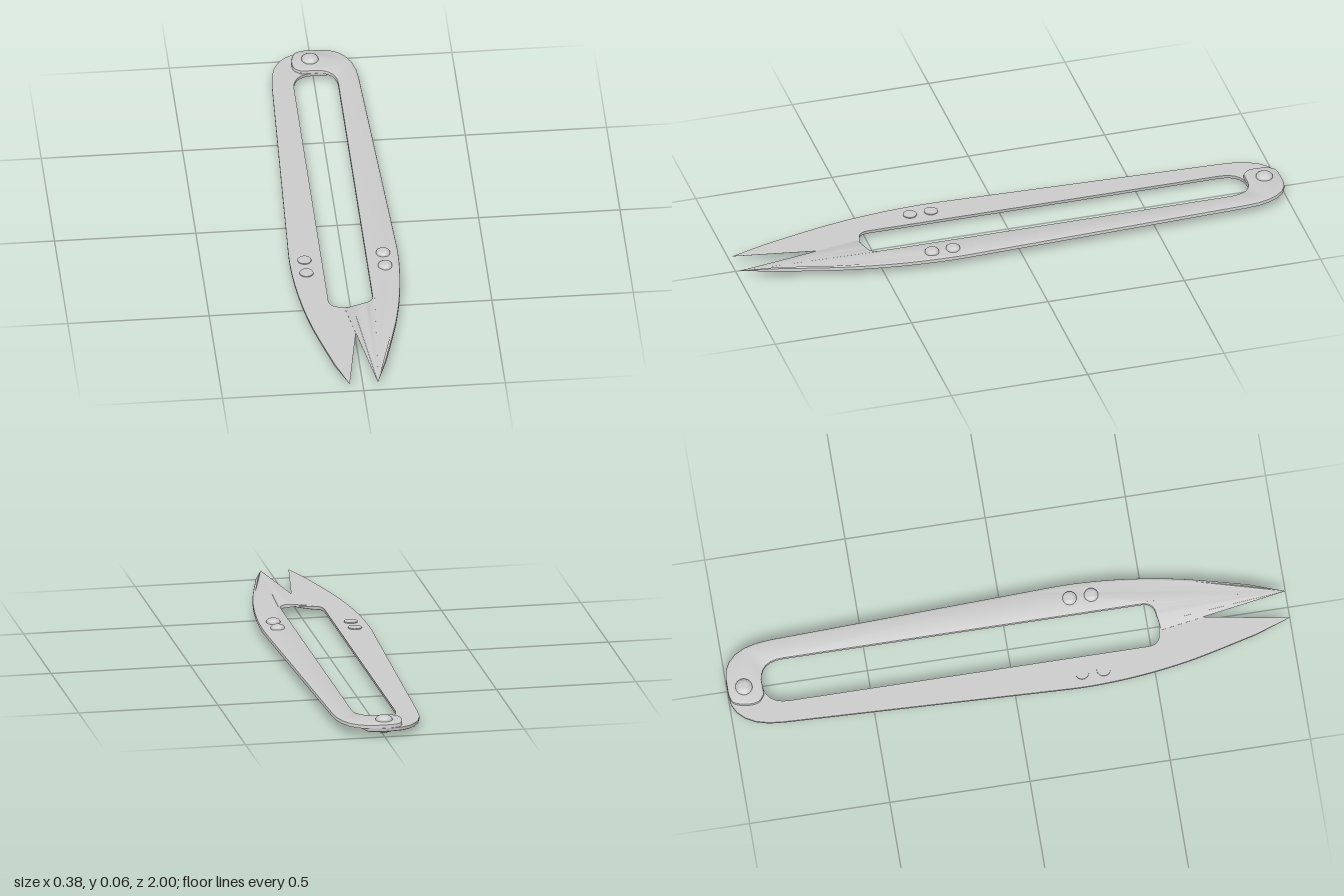
import * as THREE from 'three';
import { toCreasedNormals } from 'three/addons/utils/BufferGeometryUtils.js';

const MID = 0.033;             // height of the plane where the two halves meet
const WALL = 0.009, ROUND = 0.005, THICK = WALL + ROUND;
const metal = new THREE.MeshStandardMaterial({ color: 0xcccccc, side: THREE.DoubleSide });
const v = (x, z) => new THREE.Vector2(x, -z);

// One arm with its blade: flat underside, rounded upper rim
function armGeometry() {
  const s = new THREE.Shape();
  s.moveTo(0.05, -1);
  s.lineTo(0.093, -0.87);
  s.splineThru([v(0.15, 0.64), v(0.18, 0.45), v(0.192, 0.27), v(0.188, 0.1)]);
  s.lineTo(0.154, 0.82);
  s.bezierCurveTo(0.152, 0.94, 0.1, 1, 0.03, 1);
  s.lineTo(-0.025, 1);
  // pivot lobe
  s.splineThru([v(-0.058, -0.988), v(-0.073, -0.945), v(-0.07, -0.9), v(-0.045, -0.876)]);
  // inner side of the handle
  s.lineTo(0.01, 0.876);
  s.quadraticCurveTo(0.078, 0.87, 0.078, 0.79);
  s.lineTo(0.078, -0.49);
  s.quadraticCurveTo(0.078, -0.527, 0.045, -0.533);
  s.lineTo(-0.025, -0.545);

  const g = new THREE.ExtrudeGeometry(s, {
    depth: WALL, curveSegments: 6, bevelEnabled: true, bevelSegments: 3,
    bevelThickness: ROUND, bevelSize: 0.008, bevelOffset: -0.008,
  });
  g.rotateX(-Math.PI / 2);
  const p = g.attributes.position;
  for (let i = 0; i < p.count; i++) {
    let x = p.getX(i), y = Math.max(0, p.getY(i));
    const z = p.getZ(i);
    // ground bevel along the cutting edge
    const edgeX = -0.025 + 0.075 * (z - 0.545) / 0.455;
    if (z > 0.538 && Math.abs(x - edgeX) < 0.013 && y > WALL - 1e-5) {
      const q = (y - WALL) / ROUND;
      x += 0.055 * q * Math.max(0, (1 - z) / 0.455);
      y = 0.001 + q * (THICK - 0.001);
    }
    // thin the blade towards its tip
    if (z > 0.88) y *= Math.max(0.1, (1 - z) / 0.12);
    p.setXYZ(i, x, y, z);
  }
  return toCreasedNormals(g, 0.6);
}

// Round stud with a domed top
function rivetGeometry(radius, bottom, shoulder, top) {
  const pts = [new THREE.Vector2(0, bottom), new THREE.Vector2(radius * 0.97, bottom)];
  for (let i = 0; i <= 8; i++) {
    const a = i / 8 * Math.PI / 2;
    pts.push(new THREE.Vector2(radius * Math.cos(a), shoulder + (top - shoulder) * Math.sin(a)));
  }
  return toCreasedNormals(new THREE.LatheGeometry(pts, 24), 0.7);
}

function add(parent, name, geometry, x = 0, y = 0, z = 0) {
  const m = new THREE.Mesh(geometry, metal);
  m.name = name;
  m.position.set(x, y, z);
  parent.add(m);
  return m;
}

export function createModel() {
  const model = new THREE.Group();
  model.name = 'threadSnips';
  const arm = armGeometry();
  const stud = rivetGeometry(0.025, -0.003, 0.016, 0.029);
  const pivot = rivetGeometry(0.03, 0, 0.016, 0.032);

  // The lower half is the upper one turned over
  for (const [name, turn] of [['upperHalf', 0], ['lowerHalf', Math.PI]]) {
    const half = new THREE.Group();
    half.name = name;
    half.position.y = MID;
    half.rotation.z = turn;
    add(half, 'armAndBlade', arm, 0, 0.0003, 0);
    for (const z of [0.243, 0.32]) add(half, 'stopRivet', stud, 0.139, 0, z);
    add(half, 'pivotRivet', pivot, turn ? 0.008 : -0.008, 0, -0.942);
    model.add(half);
  }
  return model;
}
